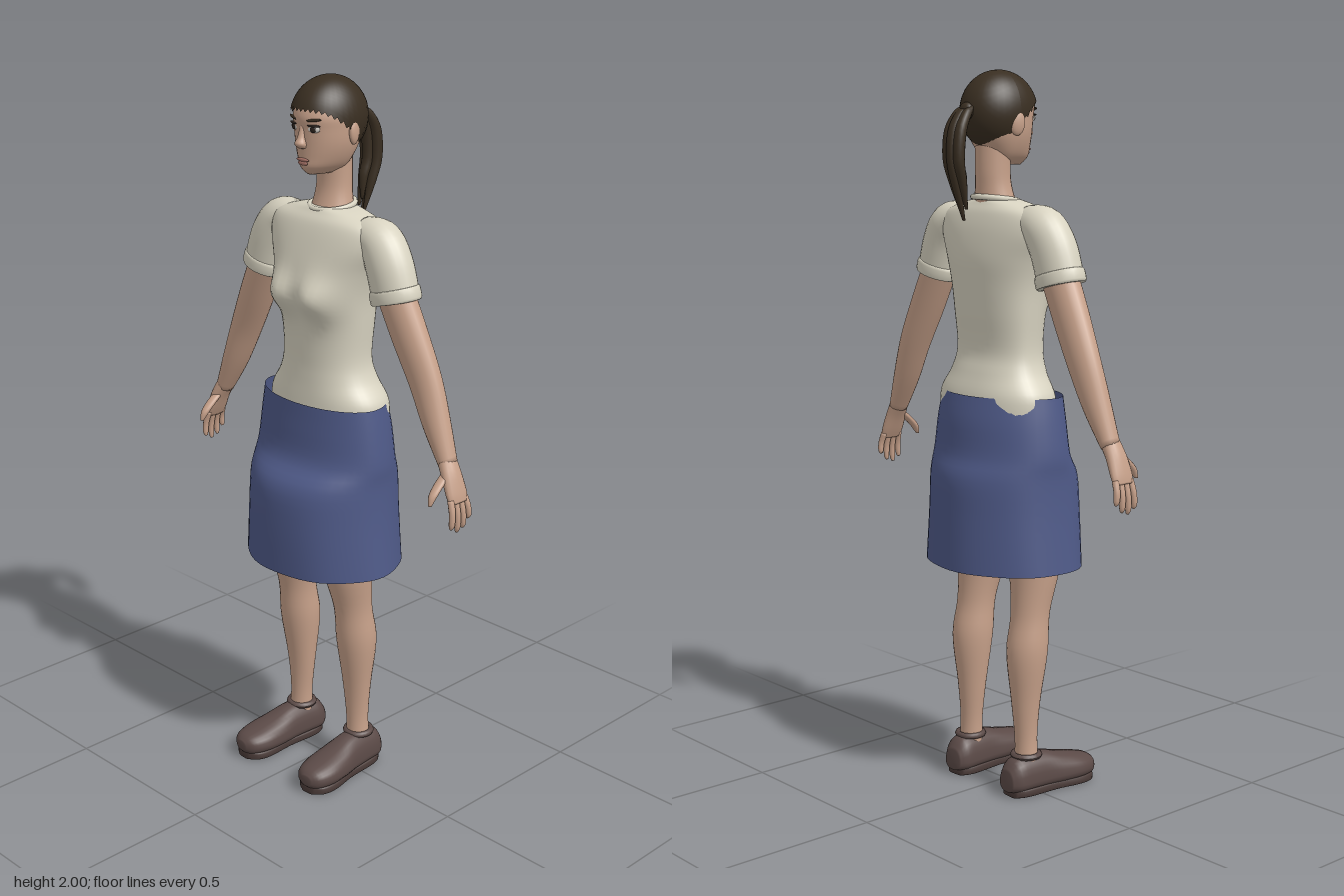
import * as THREE from 'three';

const mat = (name, color, side = THREE.FrontSide) => {
  const m = new THREE.MeshStandardMaterial({ color, side });
  m.name = name;
  return m;
};

// Smooth interpolation between rows of numbers
function spline(rows, steps) {
  const out = [];
  for (let i = 0; i < rows.length - 1; i++) {
    const p0 = rows[Math.max(i - 1, 0)], p1 = rows[i], p2 = rows[i + 1], p3 = rows[Math.min(i + 2, rows.length - 1)];
    for (let k = 0; k < steps; k++) {
      const t = k / steps;
      out.push(p1.map((b, j) => {
        const a = p0[j], c = p2[j], d = p3[j];
        return b + 0.5 * t * (c - a + t * (2 * a - 5 * b + 4 * c - d + t * (3 * (b - c) + d - a)));
      }));
    }
  }
  out.push(rows[rows.length - 1]);
  return out;
}

// Skin cross-sections running top to bottom: [x, y, z, radiusX, radiusFront, radiusBack]
function loft(rows, { n = 24, steps = 4, power = 2, closed = true, deform = null } = {}) {
  const rings = spline(rows, steps);
  if (closed) {
    const first = rings[0], last = rings[rings.length - 1];
    rings.unshift([...first.slice(0, 3), 0, 0, 0]);
    rings.push([...last.slice(0, 3), 0, 0, 0]);
  }
  const pos = [], idx = [], v = new THREE.Vector3();
  const bend = (c) => Math.sign(c) * Math.abs(c) ** (2 / power);
  rings.forEach((r, i) => {
    const a = rings[Math.max(i - 2, 0)], b = rings[Math.min(i + 2, rings.length - 1)];
    let tx = b[0] - a[0], ty = b[1] - a[1];
    const len = Math.hypot(tx, ty) || 1;
    tx /= len; ty /= len;
    for (let j = 0; j < n; j++) {
      const ang = (j / n) * Math.PI * 2, c = bend(Math.cos(ang)) * r[3], s = Math.sin(ang);
      v.set(r[0] - ty * c, r[1] + tx * c, r[2] + bend(s) * (s > 0 ? r[4] : r[5]));
      if (deform) deform(v, ang);
      pos.push(v.x, v.y, v.z);
      if (i < rings.length - 1) {
        const p = i * n + j, q = i * n + ((j + 1) % n);
        idx.push(p, q, p + n, q, q + n, p + n);
      }
    }
  });
  const g = new THREE.BufferGeometry();
  g.setAttribute('position', new THREE.Float32BufferAttribute(pos, 3));
  g.setIndex(idx);
  g.computeVertexNormals();
  return g;
}

// Round section of equal radius
const round = (x, y, z, r) => [x, y, z, r, r, r];

function ellipsoid(x, y, z, rx, ry, rz, turn = 0, tilt = 0) {
  return new THREE.SphereGeometry(1, 20, 14).scale(rx, ry, rz).rotateZ(tilt).rotateY(turn).translate(x, y, z);
}

function mirror(geometry) {
  const g = geometry.clone().scale(-1, 1, 1), ix = g.index;
  for (let i = 0; i < ix.count; i += 3) {
    const t = ix.getX(i);
    ix.setX(i, ix.getX(i + 1));
    ix.setX(i + 1, t);
  }
  g.computeVertexNormals();
  return g;
}

export function createModel() {
  const model = new THREE.Group();
  model.name = 'woman';
  const skin = mat('skin', 0xc7a18a), shirt = mat('shirt cream', 0xd8d3c1, THREE.DoubleSide);
  const denim = mat('skirt blue', 0x4f5a88, THREE.DoubleSide), hair = mat('hair brown', 0x392e21, THREE.DoubleSide);
  const leather = mat('shoe brown', 0x5b4a47), soleMat = mat('sole brown', 0x4a3b38);
  const white = mat('eye white', 0xd9d4cc), dark = mat('eye dark', 0x2c241f), lip = mat('lip', 0xa87468);

  const add = (name, g, m) => {
    const mesh = new THREE.Mesh(g, m);
    mesh.name = name;
    model.add(mesh);
  };
  const pair = (name, g, m) => {
    add(name + 'Left', g, m);
    add(name + 'Right', mirror(g), m);
  };

  // Shirt body with bust
  add('shirtBody', loft([
    [1.657, 0.06, 0.055, 0.055], [1.645, 0.12, 0.065, 0.062], [1.62, 0.185, 0.085, 0.075],
    [1.57, 0.195, 0.105, 0.088], [1.5, 0.168, 0.125, 0.095], [1.43, 0.15, 0.133, 0.09],
    [1.35, 0.142, 0.113, 0.082], [1.25, 0.137, 0.108, 0.072], [1.19, 0.153, 0.11, 0.088],
    [1.13, 0.19, 0.115, 0.108], [1.06, 0.19, 0.12, 0.115],
  ].map(([y, ...r]) => [0, y, -0.03, ...r]), {
    n: 48, steps: 5, power: 2.3,
    deform: (p) => {
      if (p.z < 0) return;
      const dx = (Math.abs(p.x) - 0.065) / 0.05, dy = (p.y - 1.425) / 0.055;
      p.z += 0.034 * Math.exp(-dx * dx - dy * dy);
    },
  }), shirt);
  add('collar', new THREE.TorusGeometry(0.061, 0.008, 8, 32).rotateX(Math.PI / 2 + 0.12).translate(0, 1.657, -0.035), shirt);

  // Sleeves and cuffs
  pair('sleeve', loft([
    [0.13, 1.6, -0.03, 0.045, 0.05, 0.05], [0.185, 1.585, -0.03, 0.06, 0.06, 0.06],
    [0.222, 1.53, -0.027, 0.067, 0.062, 0.06], [0.249, 1.445, -0.025, 0.069, 0.058, 0.058],
  ], { steps: 6 }), shirt);
  pair('cuff', loft([
    [0.241, 1.472, -0.025, 0.069, 0.06, 0.06], [0.243, 1.465, -0.025, 0.074, 0.063, 0.063],
    [0.25, 1.442, -0.025, 0.074, 0.063, 0.063], [0.251, 1.438, -0.025, 0.07, 0.06, 0.06],
  ], { steps: 2 }), shirt);

  // Arms
  pair('arm', loft([
    [0.235, 1.48, -0.025, 0.055, 0.045, 0.045], [0.295, 1.355, -0.03, 0.055, 0.043, 0.043],
    [0.35, 1.24, -0.034, 0.05, 0.038, 0.04], [0.395, 1.135, -0.032, 0.04, 0.036, 0.036],
    [0.442, 1.035, -0.028, 0.024, 0.028, 0.028],
  ], { steps: 5 }), skin);

  // Hands: palm, four fingers, thumb
  pair('palm', loft([
    [0.435, 1.05, -0.028, 0.024, 0.027, 0.027], [0.458, 1.01, -0.025, 0.021, 0.034, 0.032],
    [0.477, 0.965, -0.024, 0.016, 0.037, 0.036], [0.486, 0.94, -0.024, 0.011, 0.033, 0.033],
  ], { n: 16 }), skin);
  [0.003, -0.015, -0.033, -0.05].forEach((z, i) => {
    const len = [0.078, 0.09, 0.083, 0.062][i], spread = (1.5 - i) * 0.004;
    pair('finger' + (i + 1), loft([
      round(0.482, 0.952, z, 0.0095), round(0.492, 0.952 - len * 0.45, z + spread * 0.6, 0.009),
      round(0.493, 0.952 - len * 0.85, z + spread, 0.008), round(0.49, 0.952 - len, z + spread, 0.004),
    ], { n: 10 }), skin);
  });
  pair('thumb', loft([
    round(0.452, 1.015, -0.01, 0.014), round(0.453, 0.99, 0.02, 0.014),
    round(0.454, 0.967, 0.042, 0.012), round(0.455, 0.943, 0.054, 0.005),
  ], { n: 12 }), skin);

  // Skirt, open at waist and hem, with soft folds
  add('skirt', loft([
    [1.13, 0.203, 0.11, 0.145], [1.06, 0.214, 0.116, 0.163], [0.97, 0.224, 0.13, 0.174],
    [0.905, 0.221, 0.183, 0.197], [0.8, 0.226, 0.194, 0.2], [0.65, 0.24, 0.192, 0.203],
  ].map(([y, ...r]) => [0, y, 0, ...r]), {
    n: 48, closed: false,
    deform: (p, a) => {
      const k = 1 + 0.02 * Math.sin(a * 7 + 1) * (1.13 - p.y);
      p.x *= k;
      p.z *= k;
    },
  }), denim);

  // Hips and legs
  add('hips', loft([[0, 1.1, -0.02, 0.17, 0.1, 0.1], [0, 0.98, -0.02, 0.19, 0.11, 0.13], [0, 0.87, -0.01, 0.15, 0.08, 0.1]]), skin);
  pair('leg', loft([
    [0.1, 0.96, -0.01, 0.09, 0.1, 0.11], [0.105, 0.8, 0.005, 0.082, 0.095, 0.09],
    [0.11, 0.65, 0.01, 0.071, 0.075, 0.072], [0.114, 0.52, -0.01, 0.055, 0.058, 0.052],
    [0.116, 0.41, -0.02, 0.058, 0.056, 0.06], [0.115, 0.27, -0.023, 0.043, 0.036, 0.043],
    [0.117, 0.16, -0.026, 0.033, 0.031, 0.031], [0.12, 0.08, -0.026, 0.036, 0.034, 0.034],
  ], { n: 28, steps: 5 }), skin);

  // Shoes: lofted from toe to heel, then laid down; columns are z, height, half width, below, above
  const lay = (rows, opts) => loft(rows.map(([z, y, w, d, u]) => [0, z, -y, w, d, u]), opts)
    .rotateX(Math.PI / 2).rotateY(0.07).translate(0.123, 0, 0);
  pair('shoe', lay([
    [0.204, 0.042, 0.018, 0.015, 0.015], [0.185, 0.042, 0.044, 0.028, 0.03], [0.14, 0.042, 0.059, 0.03, 0.042],
    [0.08, 0.042, 0.057, 0.03, 0.056], [0.025, 0.042, 0.049, 0.03, 0.072], [-0.03, 0.042, 0.047, 0.03, 0.074],
    [-0.075, 0.042, 0.045, 0.03, 0.066], [-0.1, 0.042, 0.028, 0.025, 0.035],
  ], { power: 2.3 }), leather);
  pair('sole', lay([
    [0.196, 0.012, 0.02, 0.012, 0.012], [0.175, 0.012, 0.047, 0.012, 0.014], [0.13, 0.012, 0.056, 0.012, 0.014],
    [0.05, 0.012, 0.046, 0.012, 0.014], [-0.05, 0.012, 0.045, 0.012, 0.014], [-0.088, 0.012, 0.028, 0.012, 0.014],
  ], { power: 5 }), soleMat);
  pair('shoeCollar', new THREE.TorusGeometry(0.036, 0.009, 8, 24).rotateX(Math.PI / 2).translate(0.12, 0.112, -0.028), leather);

  // Neck and head
  add('neck', loft([
    [0, 1.83, -0.04, 0.052, 0.045, 0.05], [0, 1.74, -0.042, 0.05, 0.043, 0.05],
    [0, 1.69, -0.04, 0.053, 0.045, 0.05], [0, 1.64, -0.035, 0.065, 0.055, 0.055],
  ]), skin);
  add('head', loft([
    [1.982, 0.03, 0.035, 0.04], [1.95, 0.068, 0.085, 0.085], [1.905, 0.083, 0.106, 0.1], [1.87, 0.083, 0.103, 0.095],
    [1.83, 0.079, 0.1, 0.083], [1.795, 0.068, 0.098, 0.062], [1.768, 0.052, 0.096, 0.04], [1.748, 0.027, 0.078, 0.01],
  ].map(([y, ...r]) => [0, y, -0.025, ...r]), { n: 32 }), skin);
  add('nose', loft([
    round(0, 1.882, 0.07, 0.008), round(0, 1.85, 0.078, 0.01),
    round(0, 1.832, 0.081, 0.016), round(0, 1.82, 0.074, 0.011),
  ], { n: 14 }), skin);
  pair('ear', ellipsoid(0.084, 1.86, -0.032, 0.011, 0.034, 0.022, 0.35), skin);

  // Face details
  pair('eye', ellipsoid(0.036, 1.872, 0.067, 0.018, 0.009, 0.0045, 0.35), white);
  pair('iris', ellipsoid(0.036, 1.872, 0.0705, 0.0085, 0.0085, 0.0035, 0.35), dark);
  pair('lashes', ellipsoid(0.037, 1.881, 0.069, 0.02, 0.0035, 0.0045, 0.35), dark);
  pair('eyebrow', ellipsoid(0.038, 1.896, 0.07, 0.022, 0.004, 0.0045, 0.38, 0.12), hair);
  add('upperLip', ellipsoid(0, 1.789, 0.073, 0.023, 0.005, 0.0048), lip);
  add('lowerLip', ellipsoid(0, 1.78, 0.073, 0.018, 0.006, 0.0048), lip);

  // Hair cap: dome whose lower edge drops from forehead to nape
  const cap = new THREE.SphereGeometry(1, 40, 16), cp = cap.attributes.position, uv = cap.attributes.uv;
  for (let i = 0; i < cp.count; i++) {
    const a = uv.getX(i) * Math.PI * 2, face = Math.sin(a);
    const edge = 1.85 + 0.066 * Math.sin((face * Math.PI) / 2);
    const phi = (1 - uv.getY(i)) * Math.acos((edge - 1.89) / 0.11), s = Math.sin(phi);
    cp.setXYZ(i, -Math.cos(a) * s * 0.093, 1.89 + 0.11 * Math.cos(phi), -0.025 + face * s * (face > 0 ? 0.116 : 0.112));
  }
  cap.computeVertexNormals();
  add('hairCap', cap, hair);

  // Ponytail strands and tie
  add('hairTie', ellipsoid(0, 1.89, -0.137, 0.024, 0.024, 0.016), hair);
  [[-0.02, 0.03, 0.006], [0, 0, 0], [0.02, 0.02, 0.004], [0.004, 0.05, 0.022]].forEach(([x, lift, inward], i) => {
    add('ponytailStrand' + (i + 1), loft([
      round(x * 0.5, 1.9, -0.13, 0.01), round(x * 0.7, 1.888, -0.153 + inward, 0.016),
      round(x, 1.84, -0.18 + inward, 0.017), round(x, 1.765, -0.187 + inward, 0.016),
      round(x * 0.8, 1.69 + lift * 0.5, -0.172 + inward, 0.013), round(x * 0.5, 1.602 + lift, -0.147, 0.004),
    ], { n: 12 }), hair);
  });

  return model;
}
